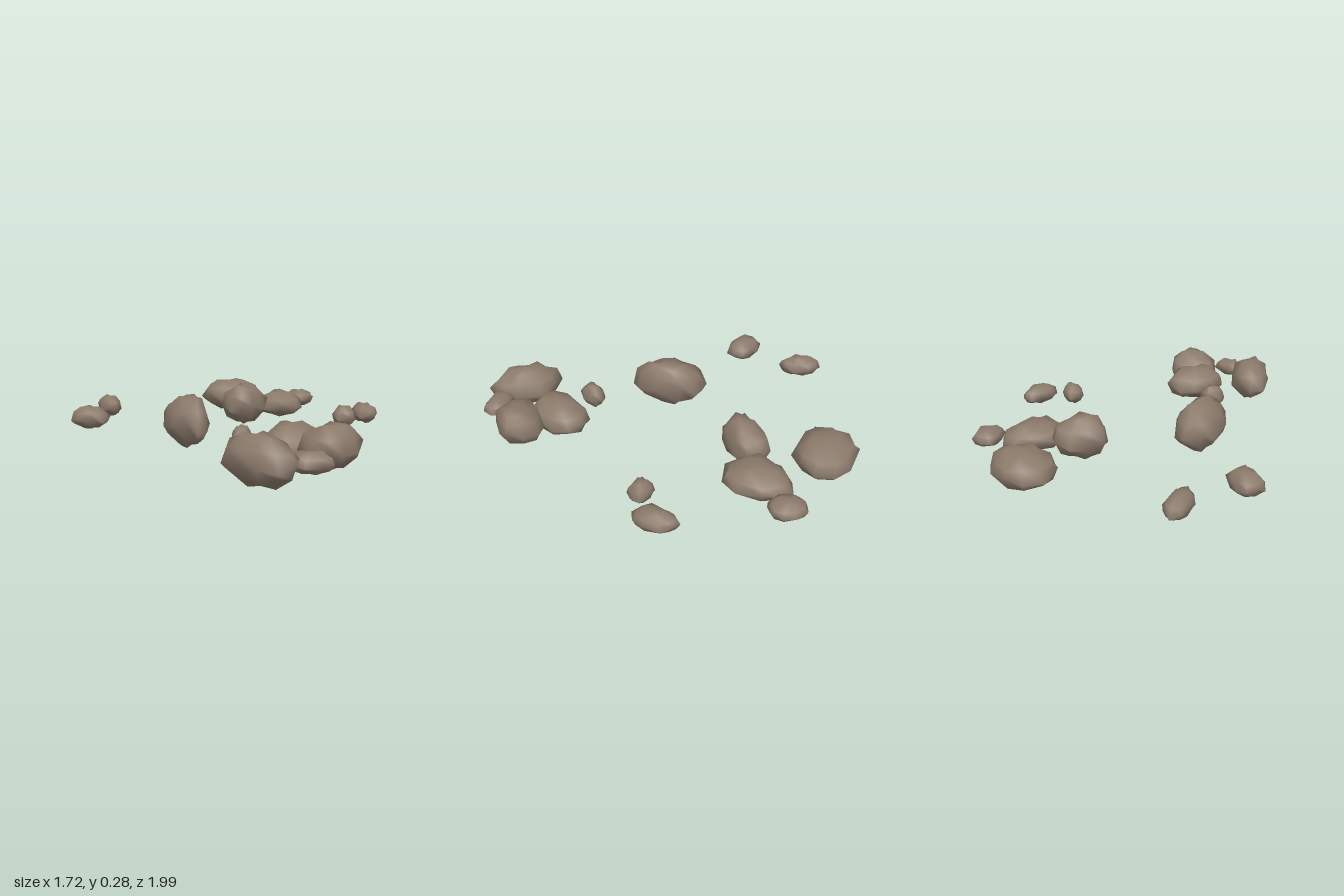
import * as THREE from 'three';

// In hundredths: centre x, z, half length, half width, turn in degrees,
// taper towards the far end (percent), bottom, top, crown shift x, z
const ROCKS = {
  broadBackRock: [-12, -84, 19, 16, -15, 0, 4, 23],
  backPebble: [33, -90, 10, 8, 45, 0, 7, 17],
  backRock: [24, -67.5, 18.5, 14, -100, 25, 4, 19],
  tallBackRock: [6, -46.5, 15.5, 11, -65, 0, 2, 26, 0, 5],
  leftRock: [78, -46, 12, 7, 70, -15, 6, 17],
  leftPebble: [68, -28, 6.8, 6, 0, 0, 6, 18],
  rightBackRock: [-76, -28.5, 12.3, 6.5, 50, 20, 6, 18],
  rightFrontRock: [-72, 10, 11.5, 8.5, 0, 0, 5.5, 18],
  middleRock: [-11, 20, 21, 11.5, 58, 25, 1, 28, 4, 0],
  frontPebble: [25, 47, 7.5, 5.3, 90, 0, 5, 19],
  frontClusterBackRock: [50, 48.5, 19, 13.5, 90, -5, 3, 22],
  frontClusterSideRock: [69.5, 58.5, 15, 13, -55, 0, 3, 24.5, 5, 0],
  broadFrontRock: [42, 85, 20.5, 11.8, 30, 10, 0, 23.5],
  frontSlabRock: [64, 83, 10.7, 6.7, -20, 0, 6.5, 16.5],
};

// Rounded profile: height relative to the widest ring, and ring size
const RINGS = [[-0.9, 0.45], [-0.5, 0.84], [0, 1], [0.5, 0.84], [0.9, 0.48]];
const SIDES = 10;

// Slightly squared-off sine for blocky outlines
const blocky = (s) => Math.sign(s) * Math.abs(s) ** 0.85;

function rockGeometry([cx, cz, length, width, degrees, taper, low, high, crownX = 0, crownZ = 0], seed) {
  const turn = THREE.MathUtils.degToRad(degrees);
  const mid = low + (high - low) * 0.48;
  const pos = [cx, low, cz];
  RINGS.forEach(([h, size], r) => {
    const shift = h > 0 ? 1 - size : 0;
    for (let i = 0; i < SIDES; i++) {
      // uneven chipped surface
      const wobble = Math.sin(seed * 2.3 + i * 2.1 + r * 1.7);
      const chip = 1 + 0.05 * Math.sin(seed * 3.1 + i * 2.4);
      const t = (i / SIDES) * Math.PI * 2;
      const s = size * chip * (h === 0 ? 1 : 1 + 0.05 * wobble);
      const u = length * blocky(Math.cos(t)) * s;
      const v = width * blocky(Math.sin(t)) * (1 - (taper / 100) * Math.cos(t)) * s;
      const span = h < 0 ? mid - low : high - mid;
      const bump = (h === 0 ? 0.14 : 0.06) * wobble * (high - low);
      pos.push(
        cx + crownX * shift + u * Math.cos(turn) - v * Math.sin(turn),
        THREE.MathUtils.clamp(mid + h * span + bump, low, high),
        cz + crownZ * shift + u * Math.sin(turn) + v * Math.cos(turn),
      );
    }
  });
  pos.push(cx + crownX, high, cz + crownZ);

  // base fan, side bands, crown fan
  const index = [];
  const crown = pos.length / 3 - 1;
  const at = (r, i) => 1 + r * SIDES + (i % SIDES);
  for (let i = 0; i < SIDES; i++) {
    index.push(0, at(0, i), at(0, i + 1));
    for (let r = 0; r < RINGS.length - 1; r++) {
      index.push(at(r, i), at(r + 1, i), at(r + 1, i + 1));
      index.push(at(r, i), at(r + 1, i + 1), at(r, i + 1));
    }
    index.push(at(RINGS.length - 1, i), crown, at(RINGS.length - 1, i + 1));
  }
  const geometry = new THREE.BufferGeometry();
  geometry.setAttribute('position', new THREE.Float32BufferAttribute(pos.map((p) => p / 100), 3));
  geometry.setIndex(index);
  geometry.computeVertexNormals();
  return geometry;
}

export function createModel() {
  const group = new THREE.Group();
  group.name = 'scatteredRocks';
  const stone = new THREE.MeshStandardMaterial({ color: 0x8b7a6b });
  stone.name = 'brownStone';
  Object.entries(ROCKS).forEach(([name, rock], i) => {
    const mesh = new THREE.Mesh(rockGeometry(rock, i + 1), stone);
    mesh.name = name;
    group.add(mesh);
  });
  return group;
}
